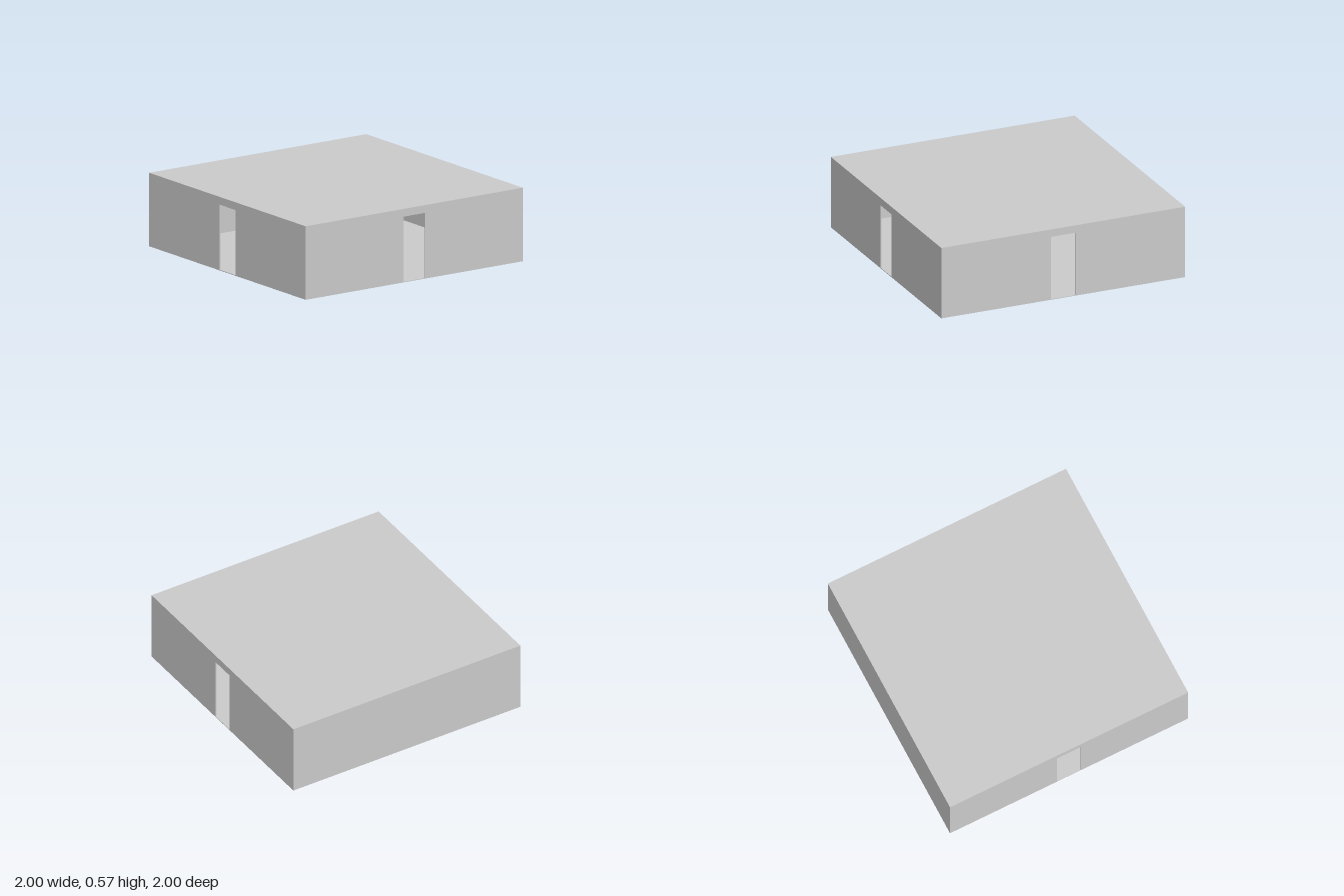
import * as THREE from 'three';

const SIZE = 2, HEIGHT = 0.567, WALL = 0.008, SLAB = 0.005;
const DOOR_WIDTH = 0.2, DOOR_TOP = 0.507, HATCH = 0.29;

const material = new THREE.MeshStandardMaterial({ color: 0xcccccc, flatShading: true });

// Outline of a rectangle, given its corner and size
function rectangle(Kind, x, y, w, h) {
  return new Kind([[x, y], [x + w, y], [x + w, y + h], [x, y + h]]
    .map(([px, py]) => new THREE.Vector2(px, py)));
}

function extrude(name, shape, depth) {
  const mesh = new THREE.Mesh(
    new THREE.ExtrudeGeometry(shape, { depth, bevelEnabled: false }), material);
  mesh.name = name;
  return mesh;
}

// Upright wall, centred on its own x, with an optional doorway down to the floor
function wall(name, width, hasDoor) {
  const w = width / 2, d = DOOR_WIDTH / 2, top = HEIGHT - SLAB;
  const points = [[w, SLAB], [w, top], [-w, top], [-w, SLAB]];
  if (hasDoor) points.push([-d, SLAB], [-d, DOOR_TOP], [d, DOOR_TOP], [d, SLAB]);
  const shape = new THREE.Shape(points.map(([x, y]) => new THREE.Vector2(x, y)));
  return extrude(name, shape, WALL);
}

export function createModel() {
  const room = new THREE.Group();
  room.name = 'room';

  // Four thin walls; the front and back ones run the full width
  const inner = SIZE - 2 * WALL;
  const walls = [
    ['frontWall', SIZE, true, 0],
    ['leftWall', inner, true, Math.PI / 2],
    ['backWall', SIZE, true, Math.PI],
    ['rightWall', inner, false, -Math.PI / 2],
  ];
  for (const [name, width, hasDoor, angle] of walls) {
    const mesh = wall(name, width, hasDoor);
    const reach = SIZE / 2 - WALL;
    mesh.rotation.y = angle;
    mesh.position.set(Math.sin(angle) * reach, 0, Math.cos(angle) * reach);
    room.add(mesh);
  }

  // Floor with a square hatch opening in the middle
  const half = SIZE / 2;
  const floorShape = rectangle(THREE.Shape, -half, -half, SIZE, SIZE);
  floorShape.holes.push(rectangle(THREE.Path, -HATCH / 2, -HATCH / 2, HATCH, HATCH));
  const floor = extrude('floor', floorShape, SLAB);
  floor.rotation.x = -Math.PI / 2;
  room.add(floor);

  // Flat closed ceiling
  const ceiling = extrude('ceiling', rectangle(THREE.Shape, -half, -half, SIZE, SIZE), SLAB);
  ceiling.rotation.x = -Math.PI / 2;
  ceiling.position.y = HEIGHT - SLAB;
  room.add(ceiling);

  return room;
}
